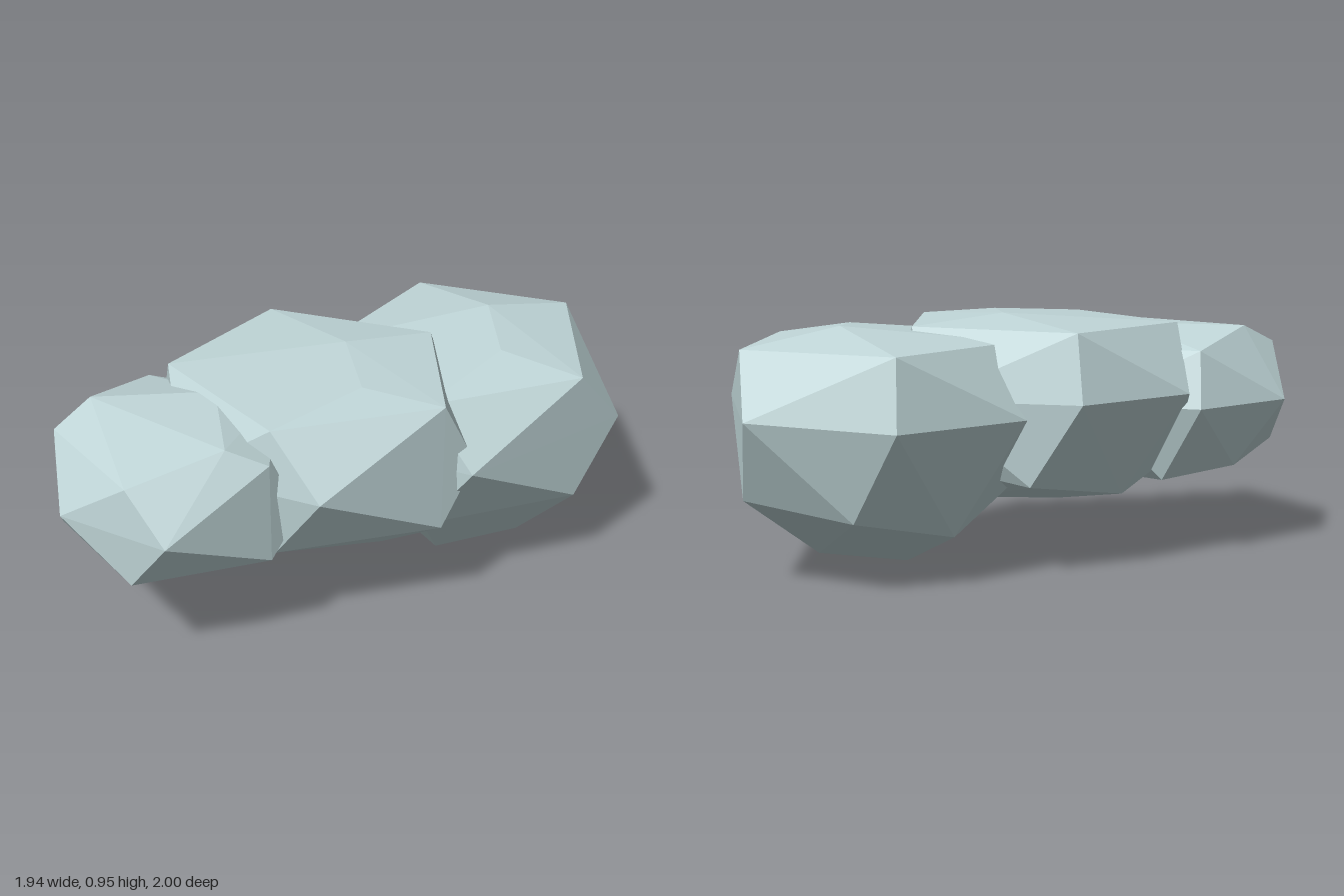
import * as THREE from 'three';
import { ConvexGeometry } from 'three/addons/geometries/ConvexGeometry.js';

// Faceted boulder: the hull of a few corner points
function boulder(name, corners, material) {
  const points = corners.map(([x, y, z]) => new THREE.Vector3(x, y, z));
  const mesh = new THREE.Mesh(new ConvexGeometry(points), material);
  mesh.name = name;
  return mesh;
}

// Five-sided ring of corners at one height
function ring(cx, cz, radius, y) {
  return [18, 90, 162, 234, 306].map((deg) => {
    const a = THREE.MathUtils.degToRad(deg);
    return [cx + radius * Math.cos(a), y, cz + radius * Math.sin(a)];
  });
}

export function createModel() {
  const group = new THREE.Group();
  group.name = 'boulderCluster';
  const stone = new THREE.MeshStandardMaterial({ color: 0xc0d6d8 });
  stone.name = 'paleStone';

  // Small boulder at the front
  group.add(boulder('smallBoulder', [
    ...ring(-0.47, 0.52, 0.43, 0.81),
    ...ring(-0.47, 0.52, 0.43, 0.42).slice(0, 3),
    [-0.8, 0.88, 0.51], [-0.2, 0.88, 0.71], [-0.38, 0.89, 0.35], // crown
    [0.02, 0.6, 0.5], [-0.31, 0.63, 1], [-0.75, 0.62, 0.9], // waist
    [-0.97, 0.6, 0.5], [-0.75, 0.6, 0.1], [-0.31, 0.6, 0.05],
    [-0.51, 0.25, 0.65], [-0.26, 0.26, 0.5], [-0.8, 0.345, 0.4], [-0.58, 0.31, 0.17], // foot
  ], stone));

  // Broad boulder in the middle
  group.add(boulder('middleBoulder', [
    [0.45, 0.91, 0.24], [-0.08, 0.91, 0.59], [-0.61, 0.91, 0.24],
    [-0.41, 0.91, -0.31], [0.24, 0.91, -0.31],
    [-0.02, 0.95, -0.06], [0.14, 0.938, 0.24], // crown
    [0.54, 0.64, 0.13], [0.12, 0.68, 0.65], [-0.43, 0.66, 0.57], // waist
    [-0.71, 0.66, 0.08], [-0.45, 0.66, -0.36], [0.12, 0.66, -0.46],
    [0.45, 0.41, 0.25], [-0.07, 0.41, 0.59], [-0.61, 0.41, 0.25], [0.24, 0.41, -0.31],
    [-0.12, 0.19, 0.25], [0.18, 0.2, 0.1], [-0.25, 0.35, -0.36], [-0.46, 0.27, 0.05], // foot
  ], stone));

  // Tall boulder at the back, reaching the ground
  group.add(boulder('tallBoulder', [
    [0.85, 0.86, -0.22], [0.355, 0.86, 0.16], [-0.14, 0.86, -0.22],
    [0.05, 0.86, -0.83], [0.66, 0.86, -0.83],
    [0.4, 0.93, -0.57], [0.53, 0.91, -0.25], // crown
    [0.97, 0.63, -0.39], [0.55, 0.63, 0.21], [0, 0.6, 0.1], // waist
    [-0.25, 0.6, -0.39], [0.02, 0.605, -0.89], [0.55, 0.63, -1],
    [0.85, 0.35, -0.22], [0.355, 0.35, 0.16], [-0.14, 0.35, -0.22], [0.66, 0.32, -0.83],
    [0.31, 0, -0.22], [0.6, 0.04, -0.39], [0.22, 0.27, -0.83], [0, 0.17, -0.47], // foot
  ], stone));

  return group;
}
